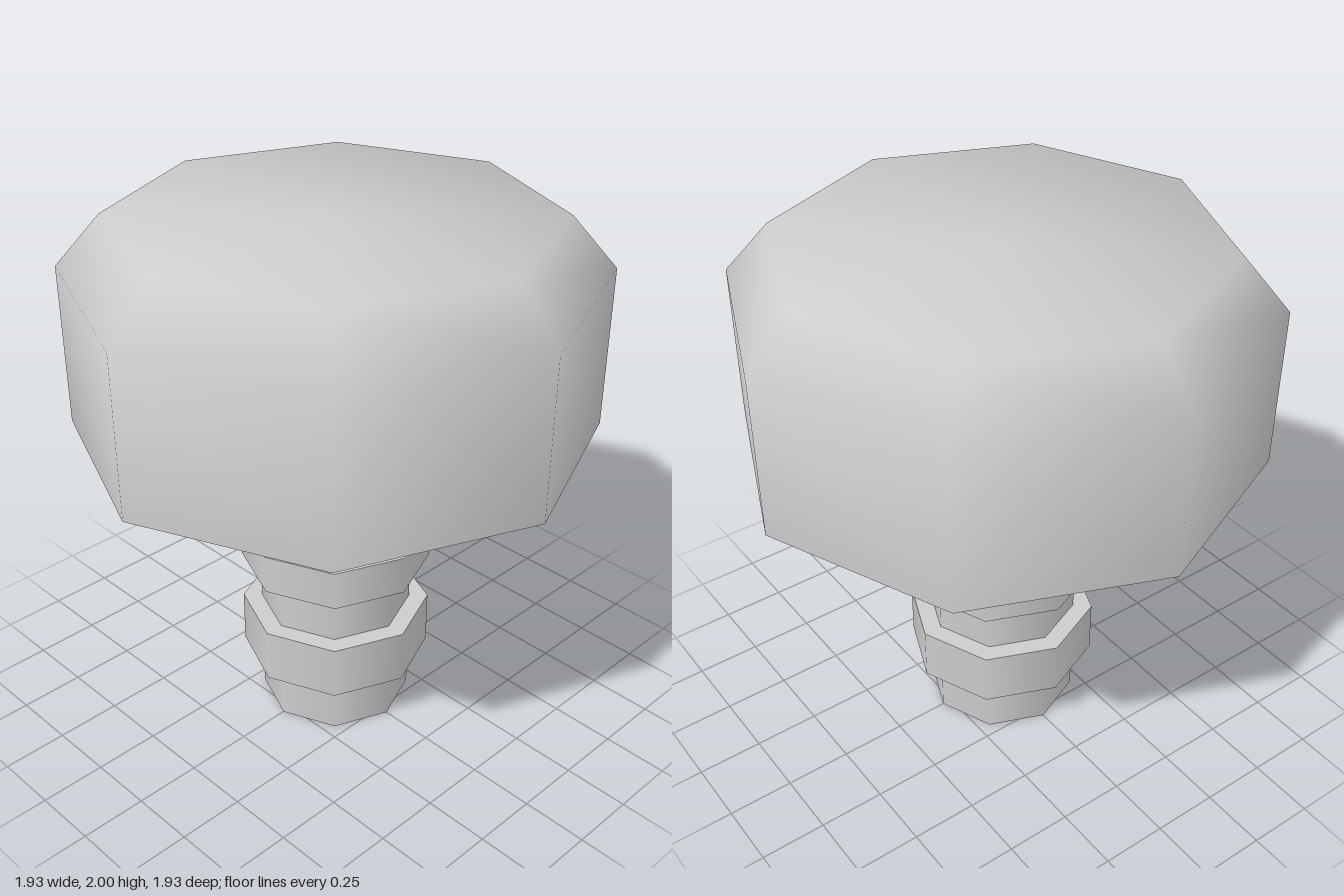
import * as THREE from 'three';
import { toCreasedNormals } from 'three/addons/utils/BufferGeometryUtils.js';

const SIDES = 8;

export function createModel() {
  const model = new THREE.Group();
  model.name = 'ribbedKnob';

  const grey = new THREE.MeshStandardMaterial({ color: 0xcccccc });
  grey.name = 'lightGrey';

  // Octagonal ring or shaft between two heights
  const addSection = (name, radius, bottom, top) => {
    const geometry = new THREE.CylinderGeometry(radius, radius, top - bottom, SIDES);
    const mesh = new THREE.Mesh(geometry, grey);
    mesh.name = name;
    mesh.position.y = (bottom + top) / 2;
    model.add(mesh);
  };

  // Stem: a narrow shaft with three wider collars
  addSection('shaft', 0.29, 0, 1.205);
  addSection('lowerCollar', 0.363, 0.215, 0.427);
  addSection('middleCollar', 0.363, 0.623, 0.777);
  addSection('upperCollar', 0.363, 0.962, 1.205);

  // Head: softly shaded octagon with a bevelled top and a sharp underside
  const profile = [[0, 1.205], [0.967, 1.205], [0.967, 1.81], [0.8, 2], [0, 2]]
    .map(([r, y]) => new THREE.Vector2(r, y));
  const headGeometry = toCreasedNormals(
    new THREE.LatheGeometry(profile, SIDES),
    THREE.MathUtils.degToRad(65)
  );
  const head = new THREE.Mesh(headGeometry, grey);
  head.name = 'head';
  model.add(head);

  return model;
}
